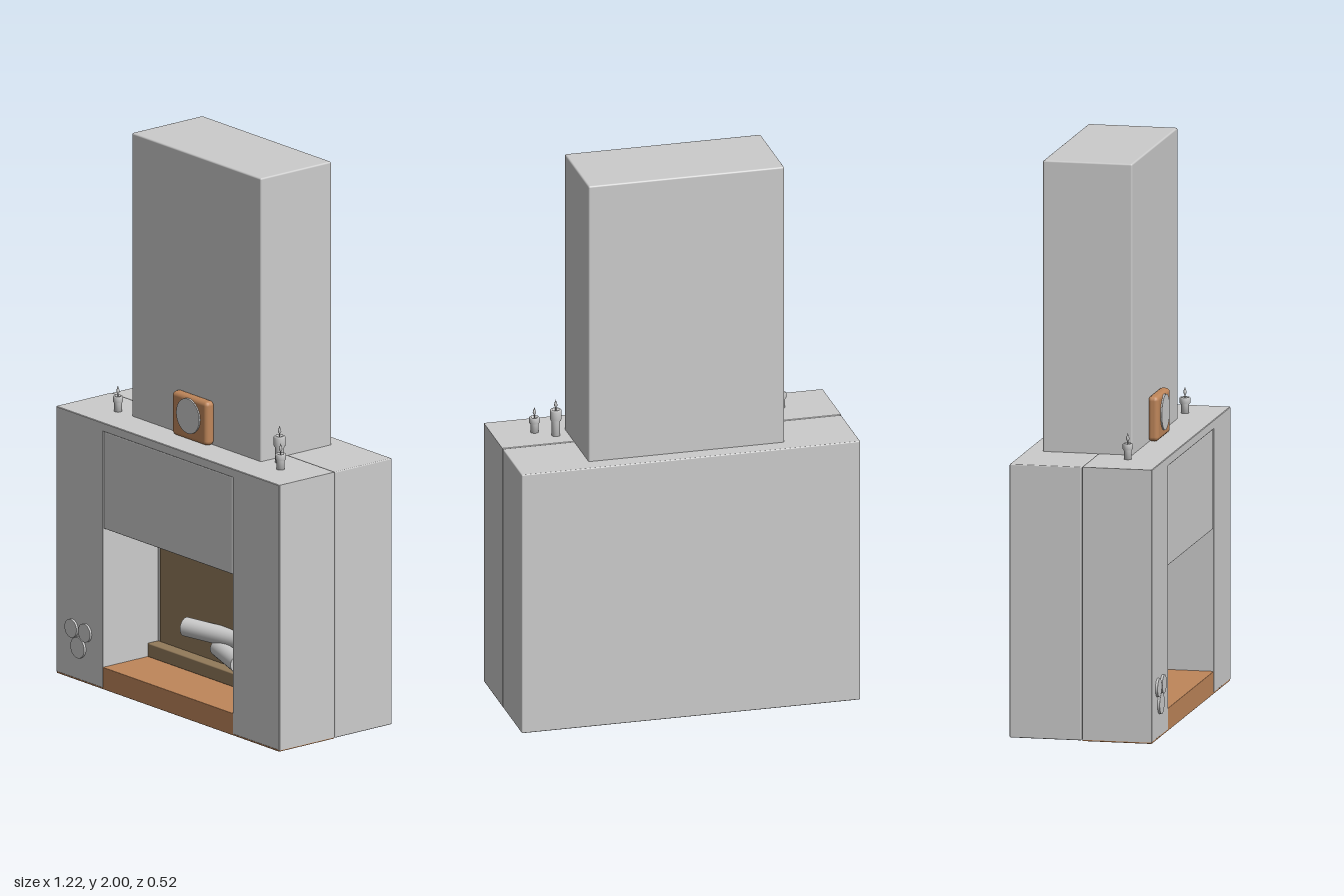
import * as THREE from 'three';
import { RoundedBoxGeometry } from 'three/addons/geometries/RoundedBoxGeometry.js';

export function createModel() {
  const model = new THREE.Group();
  model.name = 'fireplace';

  const material = (name, color) => {
    const m = new THREE.MeshStandardMaterial({ color });
    m.name = name;
    return m;
  };
  const plaster = material('plasterGrey', 0xcccccc);
  const wood = material('warmWood', 0xbf865a);
  const soot = material('sootBrown', 0x927a5a);

  const add = (name, geometry, mat, parent = model) => {
    const mesh = new THREE.Mesh(geometry, mat);
    mesh.name = name;
    parent.add(mesh);
    return mesh;
  };
  // Softly edged block given by its minimum and maximum corners
  const block = (name, [x0, y0, z0], [x1, y1, z1], mat, radius = 0.004) => {
    const mesh = add(name, new RoundedBoxGeometry(x1 - x0, y1 - y0, z1 - z0, 2, radius), mat);
    mesh.position.set((x0 + x1) / 2, (y0 + y1) / 2, (z0 + z1) / 2);
    return mesh;
  };

  // Rear half of the chimney breast
  block('rearBody', [-0.61, 0.002, -0.258], [0.61, 0.97, -0.002], plaster);

  // Front surround: two pillars joined by a thin mantel
  const surround = new THREE.Shape([
    [-0.608, 0.007], [-0.357, 0.007], [-0.357, 0.94], [0.357, 0.94],
    [0.357, 0.007], [0.608, 0.007], [0.608, 0.968], [-0.608, 0.968],
  ].map(([x, y]) => new THREE.Vector2(x, y)));
  const surroundMesh = add('frontSurround', new THREE.ExtrudeGeometry(surround, {
    depth: 0.246, bevelEnabled: true, bevelThickness: 0.002, bevelSize: 0.002, bevelSegments: 1,
  }), plaster);
  surroundMesh.position.z = 0.002;

  // Panel above the opening
  block('lintelPanel', [-0.352, 0.585, 0], [0.352, 0.939, 0.249], plaster);

  // Hearth, fire back and grate ledge
  block('hearth', [-0.608, 0, 0.001], [0.608, 0.08, 0.249], wood, 0.002);
  block('fireBack', [-0.34, 0.08, -0.003], [0.34, 0.57, 0.004], soot, 0.001);
  block('grateLedge', [-0.354, 0.08, 0], [0.354, 0.13, 0.05], soot);

  // Chimney
  block('chimney', [-0.353, 0.965, -0.198], [0.353, 2, 0.121], plaster, 0.006);

  // Mantel clock
  block('clockCase', [-0.097, 0.97, 0.115], [0.097, 1.13, 0.155], wood, 0.016);
  const clockFace = add('clockFace', new THREE.CylinderGeometry(0.063, 0.063, 0.01, 40), plaster);
  clockFace.rotation.x = Math.PI / 2;
  clockFace.position.set(0, 1.06, 0.155);

  // Candles: narrow stem, wider drip cup, wick and flame
  const candle = (x, z, height, r) => {
    const group = new THREE.Group();
    group.name = 'candle';
    group.position.set(x, 0.97, z);
    model.add(group);
    const body = [
      [0, 0], [r * 0.75, 0], [r * 0.75, height * 0.55], [r, height * 0.65],
      [r, height * 0.95], [r * 0.85, height], [r * 0.6, height], [r * 0.45, height - 0.006], [0, height - 0.006],
    ];
    const flame = [[0, -0.01], [0.002, -0.01], [0.002, 0.008], [0.006, 0.015], [0.005, 0.022], [0, 0.037]];
    const lathe = (points) => new THREE.LatheGeometry(points.map((p) => new THREE.Vector2(...p)), 16);
    add('candleBody', lathe(body), plaster, group);
    add('candleFlame', lathe(flame), plaster, group).position.y = height;
  };
  candle(-0.427, 0.122, 0.056, 0.018);
  candle(0.398, 0.074, 0.096, 0.021);
  candle(0.462, 0.122, 0.056, 0.019);

  // Round log ends set into the right pillar
  for (const [x, y, r] of [[-0.522, 0.184, 0.033], [-0.448, 0.184, 0.033], [-0.485, 0.122, 0.038]]) {
    const disc = add('logEnd', new THREE.CylinderGeometry(r, r, 0.02, 28), plaster);
    disc.rotation.x = Math.PI / 2;
    disc.position.set(x, y, 0.248);
  }

  // Fire logs, laid between two end points
  const log = (from, to, r0, r1) => {
    const a = new THREE.Vector3(...from);
    const b = new THREE.Vector3(...to);
    const dir = b.clone().sub(a);
    const mesh = add('fireLog', new THREE.CylinderGeometry(r1, r0, dir.length(), 24), plaster);
    mesh.position.copy(a).add(b).multiplyScalar(0.5);
    mesh.quaternion.setFromUnitVectors(new THREE.Vector3(0, 1, 0), dir.normalize());
  };
  log([-0.15, 0.237, 0.045], [0.15, 0.23, -0.025], 0.034, 0.034);
  log([-0.01, 0.187, 0.015], [0.18, 0.184, 0.075], 0.03, 0.034);

  return model;
}
